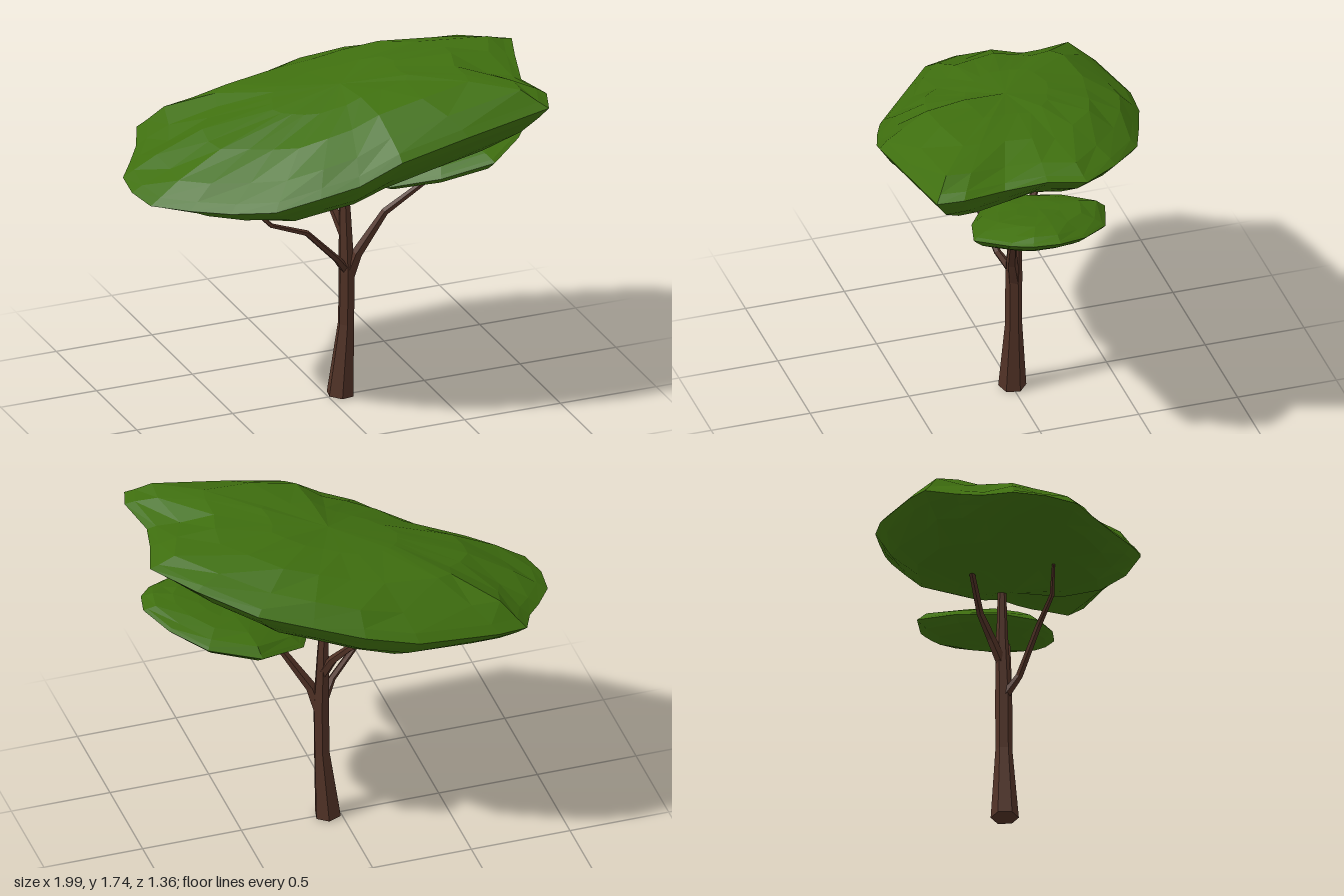
import * as THREE from 'three';

const leafMaterial = new THREE.MeshStandardMaterial({ color: 0x3f6f0f, flatShading: true });
const barkMaterial = new THREE.MeshStandardMaterial({ color: 0x513226, flatShading: true });

// Faceted closed skin over rings of equal length, from a start point to an end point
function skin(name, start, rings, end, material) {
  const n = rings[0].length;
  const points = [start, ...rings.flat(), end];
  const last = points.length - 1;
  const index = [];
  for (let i = 0; i < n; i++) {
    const k = (i + 1) % n;
    index.push(0, 1 + k, 1 + i);
    for (let j = 0; j < rings.length - 1; j++) {
      const a = 1 + j * n, b = a + n;
      index.push(a + i, a + k, b + k, a + i, b + k, b + i);
    }
    index.push(last - n + i, last - n + k, last);
  }
  const indexed = new THREE.BufferGeometry().setFromPoints(points);
  indexed.setIndex(index);
  const geometry = indexed.toNonIndexed();
  geometry.computeVertexNormals();
  const mesh = new THREE.Mesh(geometry, material);
  mesh.name = name;
  return mesh;
}

// Leaf pad: a rim (counter-clockwise from above) domed up and down around a centre;
// a larger fullness gives blunter edges, and the front and back are blunter than the ends
function leafPad(name, rim, center, up, down, fullness, rough) {
  const c = new THREE.Vector3(...center);
  const edge = rim.map((p) => new THREE.Vector3(...p));
  const layers = [[0.4, -down], [0.7, -down], [0.86, -down], [0.95, -down], [1, 0],
    [0.95, up], [0.84, up], [0.62, up], [0.32, up]];
  const rings = layers.map(([s, height], j) => edge.map((p, i) => {
    const wobble = s < 0.9 ? Math.sin(i * 1.7 + j * 1.9) : 0;
    const q = c.clone().lerp(p, s * (1 + 0.03 * wobble));
    q.y += height * (1 - s ** (fullness + 3 * Math.abs(p.z))) + rough * s * wobble;
    return q;
  }));
  const lift = (h) => c.clone().add(new THREE.Vector3(0, h, 0));
  return skin(name, lift(-down), rings, lift(up), leafMaterial);
}

// Tapered limb through [x, y, z, radius] stations
function limb(name, stations, sides) {
  const pts = stations.map((s) => new THREE.Vector3(s[0], s[1], s[2]));
  const rings = pts.map((p, j) => {
    const dir = pts[Math.min(j + 1, pts.length - 1)].clone().sub(pts[Math.max(j - 1, 0)]).normalize();
    const turn = new THREE.Quaternion().setFromUnitVectors(new THREE.Vector3(0, 1, 0), dir);
    return Array.from({ length: sides }, (_, i) => {
      const a = (i / sides) * Math.PI * 2 + 0.3;
      const r = stations[j][3];
      return new THREE.Vector3(Math.cos(a) * r, 0, -Math.sin(a) * r).applyQuaternion(turn).add(p);
    });
  });
  return skin(name, pts[0], rings, pts[pts.length - 1], barkMaterial);
}

export function createModel() {
  const tree = new THREE.Group();
  tree.name = 'flatToppedTree';

  // Trunk, flared at the foot
  tree.add(limb('trunk', [
    [0.062, 0.008, -0.003, 0.068], [0.092, 0.38, 0, 0.041], [0.095, 0.65, 0, 0.041],
    [0.09, 0.95, -0.01, 0.031], [0.087, 1.06, -0.01, 0.025], [0.095, 1.4, -0.01, 0.016],
  ], 6));

  // Branches
  tree.add(limb('lowerRightBranch', [
    [0.09, 0.66, 0.0, 0.025], [0.02, 0.75, 0.06, 0.018], [-0.16, 0.94, 0.11, 0.015],
    [-0.35, 1.02, 0.13, 0.012], [-0.46, 1.13, 0.11, 0.008],
  ], 5));
  tree.add(limb('upperRightBranch', [
    [0.09, 0.84, -0.01, 0.028], [0.06, 0.95, -0.07, 0.023], [0.0, 1.05, -0.14, 0.018], [-0.22, 1.18, -0.24, 0.014],
  ], 5));
  tree.add(limb('leftBranch', [
    [0.1, 0.62, 0.0, 0.035], [0.14, 0.75, 0.025, 0.028], [0.27, 0.96, 0.06, 0.019], [0.54, 1.17, 0.13, 0.012],
  ], 5));

  // Large tilted crown
  tree.add(leafPad('mainCanopy', [
    [-1, 1.23, -0.06], [-0.97, 1.22, 0.1], [-0.82, 1.22, 0.23], [-0.66, 1.23, 0.36], [-0.48, 1.26, 0.49],
    [-0.28, 1.33, 0.57], [-0.1, 1.39, 0.63], [0.1, 1.5, 0.68], [0.45, 1.57, 0.67], [0.88, 1.64, 0.645],
    [0.92, 1.66, 0.52], [0.88, 1.65, 0.3], [0.93, 1.69, 0.1], [0.99, 1.69, -0.08], [0.82, 1.65, -0.28],
    [0.57, 1.57, -0.47], [0.32, 1.51, -0.56], [0.08, 1.45, -0.64], [-0.18, 1.39, -0.68], [-0.6, 1.33, -0.64],
    [-0.75, 1.31, -0.6], [-0.81, 1.28, -0.46], [-0.89, 1.25, -0.35], [-0.98, 1.24, -0.22],
  ], [0.05, 1.46, 0.03], 0.2, 0.26, 2, 0.008));

  // Small pad under the high end
  tree.add(leafPad('lowerCanopy', [
    [0.15, 1.13, 0], [0.22, 1.15, 0.2], [0.45, 1.21, 0.33], [0.7, 1.28, 0.4], [0.88, 1.33, 0.27], [0.95, 1.35, 0.18],
    [0.98, 1.36, 0.05], [0.9, 1.32, -0.1], [0.75, 1.27, -0.25], [0.5, 1.22, -0.33], [0.25, 1.15, -0.2],
  ], [0.57, 1.24, 0.03], 0.075, 0.09, 3, 0.004));

  return tree;
}
